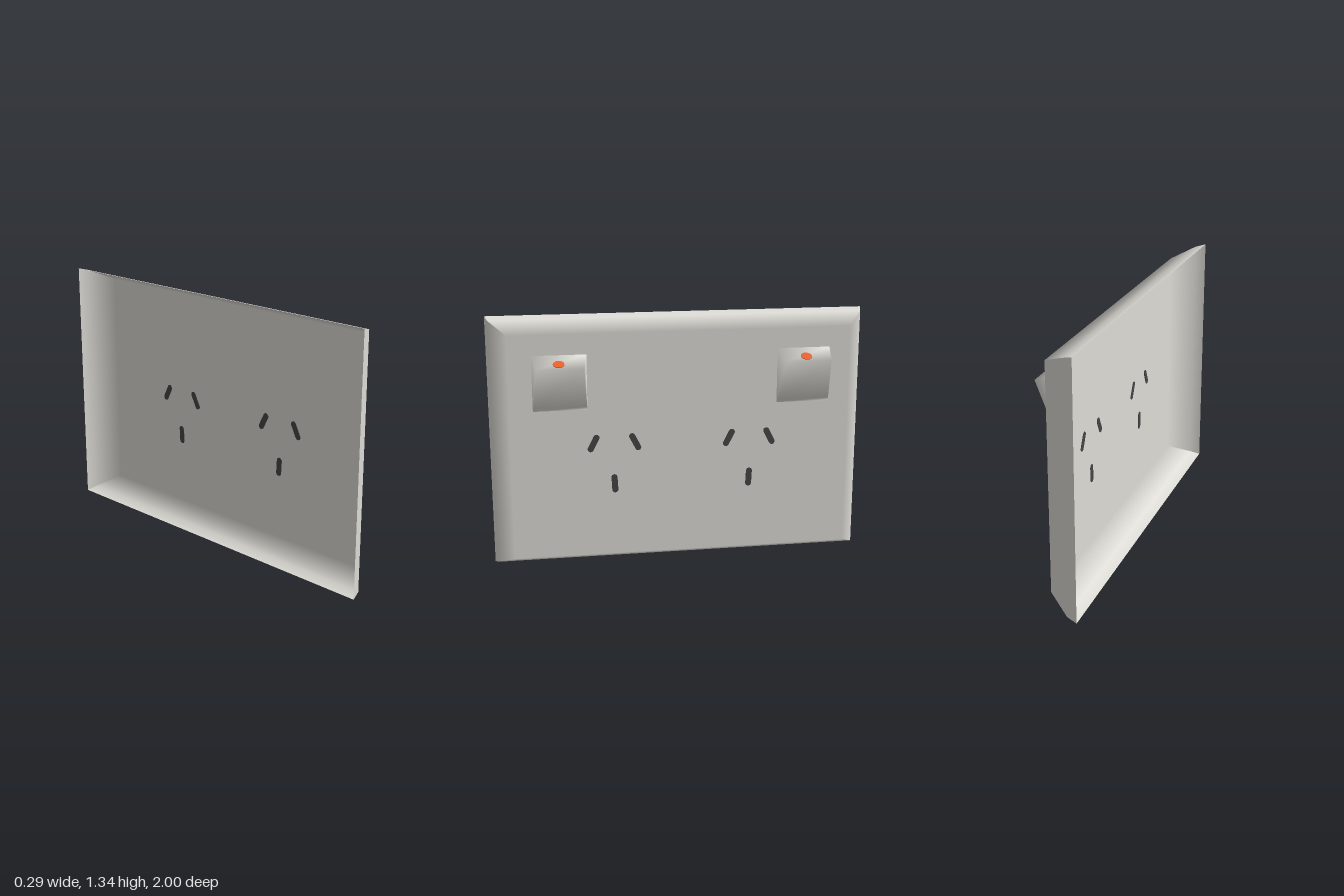
import * as THREE from 'three';

const DS = THREE.DoubleSide;
const makeMat = (name, color, side = THREE.FrontSide) => {
  const m = new THREE.MeshStandardMaterial({ color, side });
  m.name = name;
  return m;
};

const H = 1.34;      // plate height
const FACE_X = 0.03; // plane of the plate face

// Build a geometry from quads, each [a, b, c, d] of points with matching normals
function quadGeometry(quads) {
  const pos = [], nor = [], idx = [];
  quads.forEach(({ p, n }, i) => {
    p.forEach((v) => pos.push(...v));
    n.forEach((v) => nor.push(...v));
    const k = i * 4;
    idx.push(k, k + 1, k + 2, k, k + 2, k + 3);
  });
  const g = new THREE.BufferGeometry();
  g.setAttribute('position', new THREE.Float32BufferAttribute(pos, 3));
  g.setAttribute('normal', new THREE.Float32BufferAttribute(nor, 3));
  g.setIndex(idx);
  return g;
}

// Hollow plate, open at the back, with a rounded bevel on all four sides
function plateGeometry() {
  const ring = (x, z, inset) => [
    [x, inset, z], [x, inset, -z], [x, H - inset, -z], [x, H - inset, z],
  ];
  const rings = [ring(-0.145, 1, 0), ring(-0.09, 0.985, 0.015), ring(FACE_X, 0.895, 0.073)];
  const outward = [[0, -1, 0], [0, 0, -1], [0, 1, 0], [0, 0, 1]];
  const tilts = [0.2, 0.5, Math.PI / 2]; // normal swings from the side to the front
  const quads = [];
  for (let r = 0; r < 2; r++) {
    for (let k = 0; k < 4; k++) {
      const j = (k + 1) % 4;
      const normal = (t) => [Math.sin(t), outward[k][1] * Math.cos(t), outward[k][2] * Math.cos(t)];
      const n0 = normal(tilts[r]), n1 = normal(tilts[r + 1]);
      quads.push({
        p: [rings[r][k], rings[r][j], rings[r + 1][j], rings[r + 1][k]],
        n: [n0, n0, n1, n1],
      });
    }
  }
  quads.push({ p: rings[2], n: Array(4).fill([1, 0, 0]) });
  return quadGeometry(quads);
}

// Wedge-shaped rocker, tapering towards its tip; smooth shared normals
function rockerGeometry() {
  const profile = [[FACE_X, 0.87], [0.045, 0.89], [0.143, 1.11], [FACE_X, 1.16]];
  const halfWidth = (x) => 0.14 - (x - FACE_X) * 0.18;
  const pos = [];
  for (const s of [1, -1]) {
    for (const [x, y] of profile) pos.push(x, y, s * halfWidth(x));
  }
  const idx = [0, 1, 2, 0, 2, 3, 4, 6, 5, 4, 7, 6];
  for (let i = 0; i < 3; i++) idx.push(i, i + 4, i + 5, i, i + 5, i + 1);
  const g = new THREE.BufferGeometry();
  g.setAttribute('position', new THREE.Float32BufferAttribute(pos, 3));
  g.setIndex(idx);
  g.computeVertexNormals();
  return g;
}

// Thin rounded plate for a pin slot, facing +x
function slotGeometry(tilt) {
  const r = 0.016, h = 0.034, depth = 0.006;
  const shape = new THREE.Shape();
  shape.absarc(0, h, r, 0, Math.PI);
  shape.absarc(0, -h, r, Math.PI, Math.PI * 2);
  shape.closePath();
  const g = new THREE.ExtrudeGeometry(shape, { depth, bevelEnabled: false, curveSegments: 6 });
  g.translate(0, 0, -depth / 2);
  g.rotateZ(tilt);
  g.rotateY(Math.PI / 2);
  return g;
}

export function createModel() {
  const model = new THREE.Group();
  model.name = 'doubleWallSocket';
  const plastic = makeMat('whitePlastic', 0xdddbd5, DS);
  const dark = makeMat('darkSlot', 0x444444);
  const orange = makeMat('orangeIndicator', 0xe8622a);

  const add = (name, geometry, material, x = 0, y = 0, z = 0) => {
    const m = new THREE.Mesh(geometry, material);
    m.name = name;
    m.position.set(x, y, z);
    model.add(m);
    return m;
  };

  add('facePlate', plateGeometry(), plastic);

  for (const [side, s] of [['left', 1], ['right', -1]]) {
    // Rocker switch and the indicator dot on its upper slope
    add(`${side}Switch`, rockerGeometry(), plastic, 0, 0, s * 0.64 - 0.005);
    const dot = add(`${side}Indicator`, new THREE.CylinderGeometry(0.03, 0.03, 0.006, 10),
      orange, 0.105, 1.127, s * 0.64);
    dot.rotation.z = -0.417;

    // Two slanted pin slots and the upright one below
    add(`${side}OuterSlot`, slotGeometry(-0.47 * s), dark, FACE_X, 0.688, s * 0.468);
    add(`${side}InnerSlot`, slotGeometry(0.47 * s), dark, FACE_X, 0.688, s * 0.25);
    add(`${side}EarthSlot`, slotGeometry(0.05 * s), dark, FACE_X, 0.465, s * 0.36);
  }
  return model;
}
